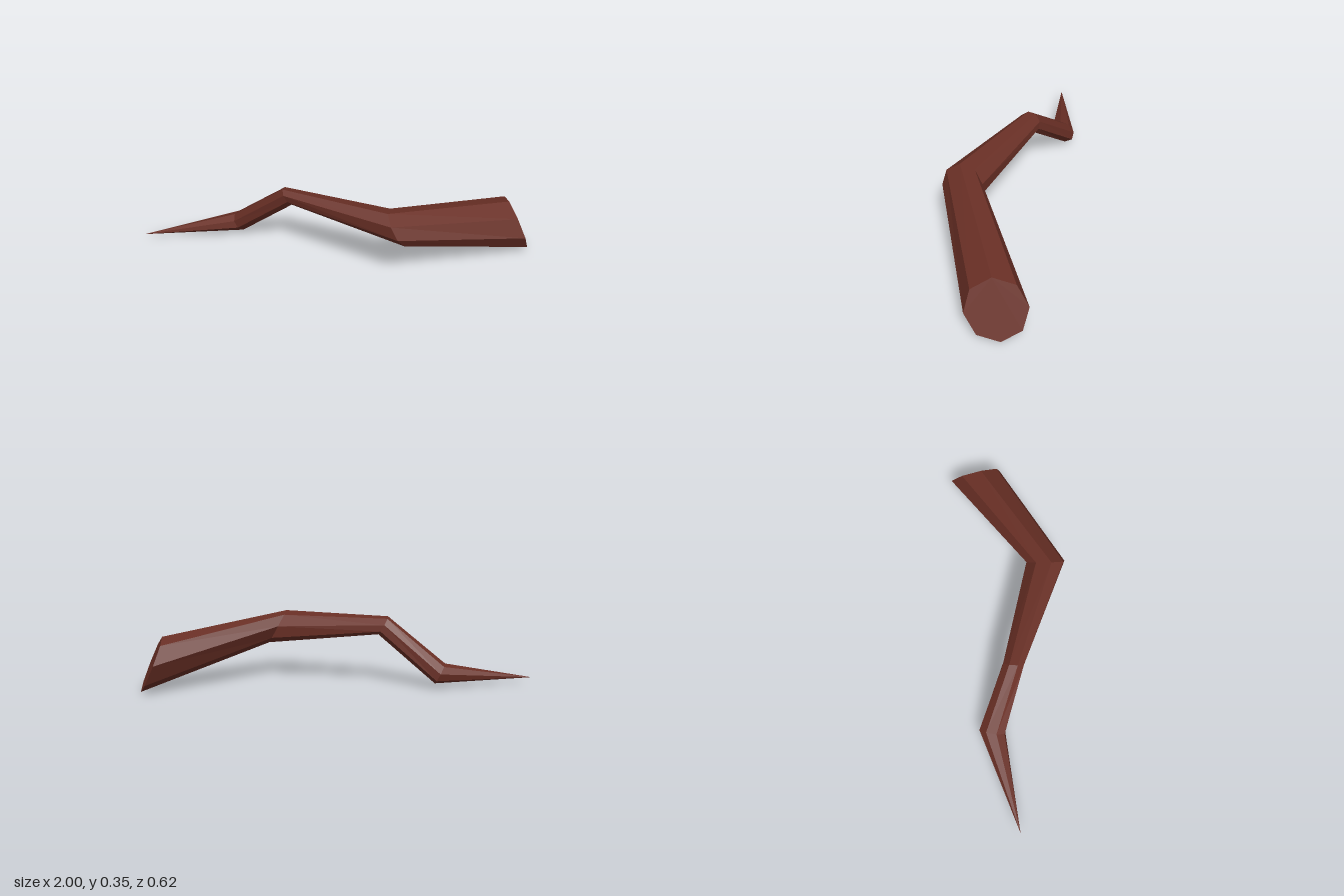
import * as THREE from 'three';

const SIDES = 8;

// Octagonal cross-sections from the thick cut end to the pointed tip:
// centre c, with u and v the two half-axes of each tilted ring
const SECTIONS = [
  { c: [0.93, 0.137, -0.175], u: [-0.05, 0.133, 0.035], v: [0.045, -0.017, 0.132] },
  { c: [0.345, 0.27, 0.209], u: [-0.045, 0.084, 0.026], v: [0.013, -0.015, 0.099] },
  { c: [-0.22, 0.304, 0.051], u: [-0.025, 0.044, 0.02], v: [0.005, -0.008, 0.051] },
  { c: [-0.508, 0.075, -0.05], u: [-0.027, 0.047, 0.022], v: [-0.002, -0.009, 0.065] },
  { c: [-1, 0.025, 0.098], u: [0, 0, 0], v: [0, 0, 0] },
];

function ring({ c, u, v }) {
  return Array.from({ length: SIDES }, (_, k) => {
    const a = (k / SIDES) * Math.PI * 2;
    return new THREE.Vector3(...c)
      .addScaledVector(new THREE.Vector3(...u), Math.cos(a))
      .addScaledVector(new THREE.Vector3(...v), Math.sin(a));
  });
}

function facetMesh(name, points, material) {
  const geometry = new THREE.BufferGeometry().setFromPoints(points);
  geometry.computeVertexNormals();
  const mesh = new THREE.Mesh(geometry, material);
  mesh.name = name;
  return mesh;
}

export function createModel() {
  const bark = new THREE.MeshStandardMaterial({ color: 0x692f25, flatShading: true });
  bark.name = 'reddish brown bark';
  const rings = SECTIONS.map(ring);
  const group = new THREE.Group();
  group.name = 'crookedBranch';

  // Tapering, bent segments; the last one closes to a point
  const names = ['thickSegment', 'middleSegment', 'thinSegment', 'pointedTip'];
  names.forEach((name, i) => {
    const points = [];
    for (let k = 0; k < SIDES; k++) {
      const n = (k + 1) % SIDES;
      const [a, b, c, d] = [rings[i][k], rings[i][n], rings[i + 1][k], rings[i + 1][n]];
      points.push(a, c, b);
      if (i < names.length - 1) points.push(b, c, d);
    }
    group.add(facetMesh(name, points, bark));
  });

  // Flat cut face on the thick end
  const cut = [];
  for (let k = 1; k < SIDES - 1; k++) cut.push(rings[0][0], rings[0][k], rings[0][k + 1]);
  group.add(facetMesh('cutEnd', cut, bark));

  return group;
}
